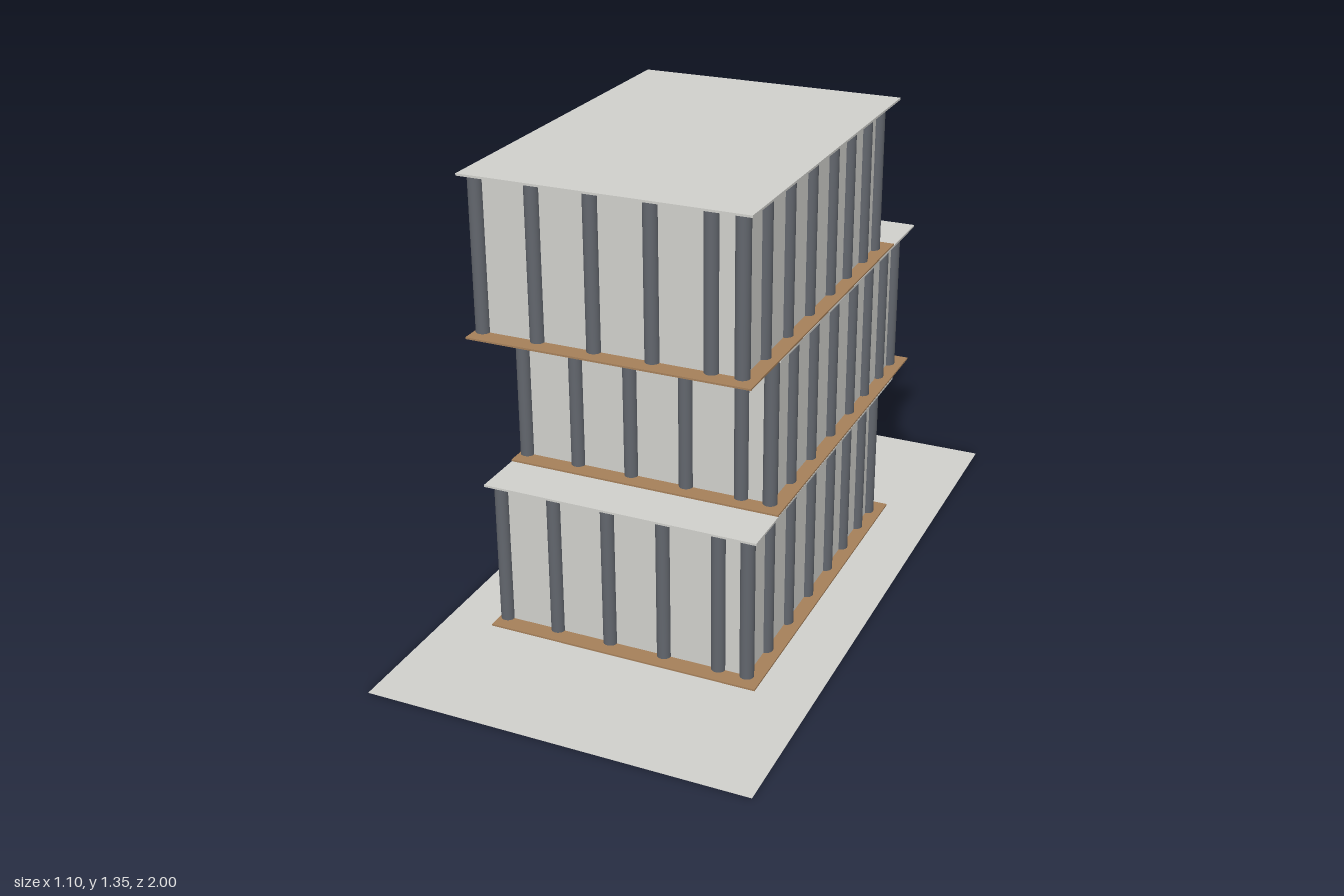
import * as THREE from 'three';

const paleGrey = new THREE.MeshStandardMaterial({ color: 0xd0d0cc });
paleGrey.name = 'pale grey';
const timber = new THREE.MeshStandardMaterial({ color: 0xa6805a });
timber.name = 'timber brown';
const slate = new THREE.MeshStandardMaterial({ color: 0x62666d });
slate.name = 'slate grey';

const STOREY = 0.45; // floor to floor
const SLAB = 0.006;
const RADIUS = 0.02;

// Column lines: x across the ends, z along the sides (before each storey's shift)
const columnX = [-0.39, -0.229, -0.066, 0.098, 0.26, 0.343];
const columnZ = [0.532, 0.393, 0.238, 0.078, -0.083, -0.22, -0.358, -0.468];

function box(name, material, x0, x1, y0, y1, z0, z1) {
  const mesh = new THREE.Mesh(new THREE.BoxGeometry(x1 - x0, y1 - y0, z1 - z0), material);
  mesh.position.set((x0 + x1) / 2, (y0 + y1) / 2, (z0 + z1) / 2);
  mesh.name = name;
  return mesh;
}

function createStorey() {
  const storey = new THREE.Group();
  const first = { x: columnX[0], z: columnZ[columnZ.length - 1] };
  const last = { x: columnX[columnX.length - 1], z: columnZ[0] };
  const top = STOREY - SLAB;

  // Overhanging slabs and the walls between them
  storey.add(box('floorSlab', timber, -0.413, 0.387, 0.001, SLAB, -0.532, 0.585));
  storey.add(box('roofSlab', paleGrey, -0.413, 0.387, top, STOREY, -0.532, 0.585));
  storey.add(box('walls', paleGrey, first.x, last.x, SLAB, top, first.z, last.z));

  // Round columns on the perimeter only
  const columnGeometry = new THREE.CylinderGeometry(RADIUS, RADIUS, top - SLAB, 20);
  for (const x of columnX) {
    for (const z of columnZ) {
      const onSide = x === first.x || x === last.x;
      const onEnd = z === first.z || z === last.z;
      if (!onSide && !onEnd) continue;
      const column = new THREE.Mesh(columnGeometry, slate);
      column.position.set(x, (top + SLAB) / 2, z);
      column.name = 'column';
      storey.add(column);
    }
  }
  return storey;
}

export function createModel() {
  const model = new THREE.Group();
  model.name = 'steppedBuilding';

  // Thin site plate
  model.add(box('ground', paleGrey, -0.55, 0.55, 0, 0.001, -1, 1));

  // Three equal storeys, slid forwards and back
  [0, -0.152, 0.048].forEach((shift, i) => {
    const storey = createStorey();
    storey.name = ['lowerStorey', 'middleStorey', 'upperStorey'][i];
    storey.position.set(0, i * STOREY, shift);
    model.add(storey);
  });
  return model;
}
